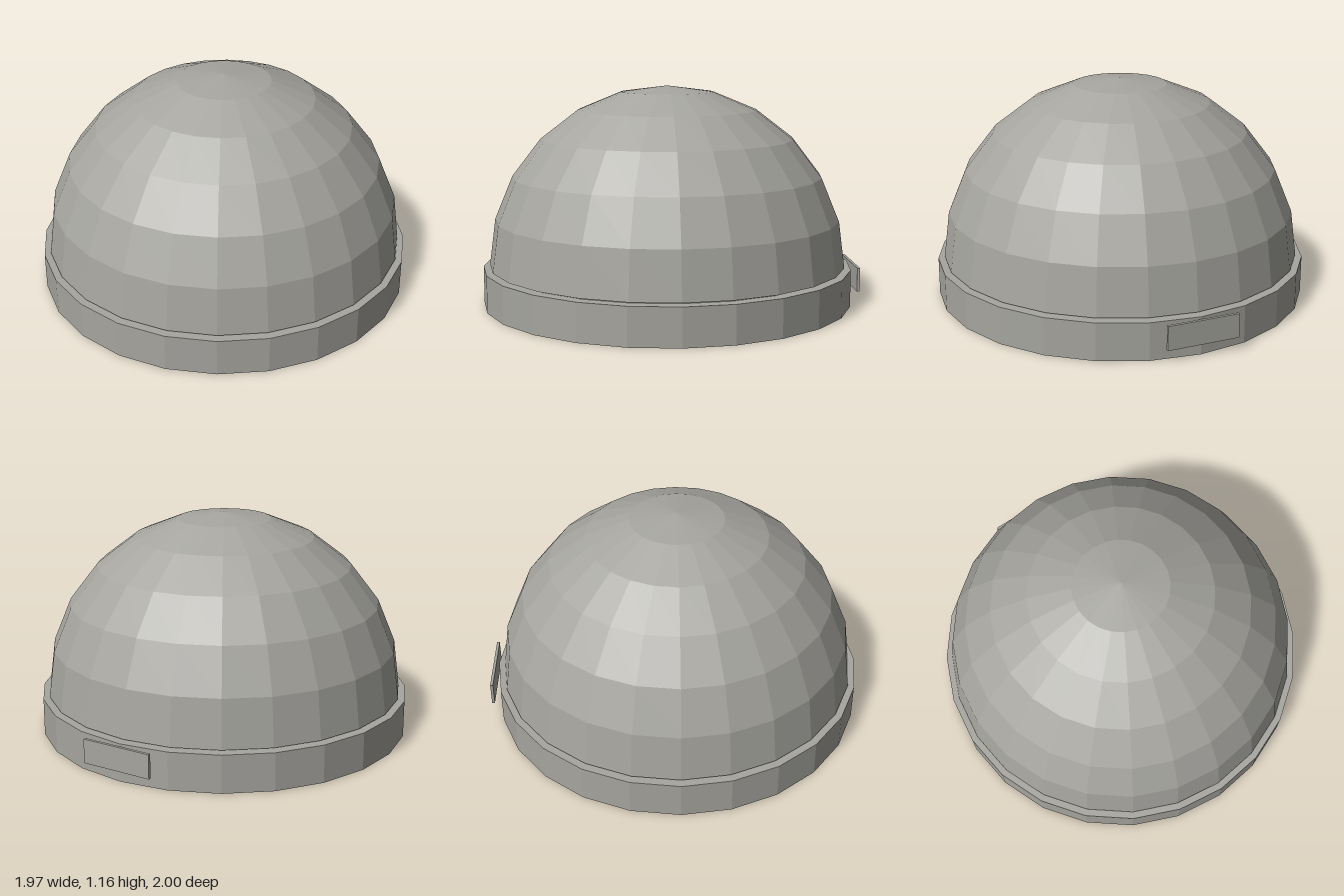
import * as THREE from 'three';

const SIDES = 24;
const CENTRE_Z = 0.016;

// Quarter-circle profile from the rim up to the apex
function domeProfile(radius, baseY, stacks = 6) {
  const points = [];
  for (let i = 0; i <= stacks; i++) {
    const a = (i / stacks) * Math.PI / 2;
    const r = i === stacks ? 0 : radius * Math.cos(a);
    points.push(new THREE.Vector2(r, baseY + radius * Math.sin(a)));
  }
  return points;
}

export function createModel() {
  const model = new THREE.Group();
  model.name = 'domeOnBase';

  const grey = new THREE.MeshStandardMaterial({ color: 0xa6a59f, flatShading: true });
  grey.name = 'warmGrey';

  function add(name, geometry, x, y, z) {
    const mesh = new THREE.Mesh(geometry, grey);
    mesh.name = name;
    mesh.position.set(x, y, z);
    model.add(mesh);
  }

  // Round base
  add('base', new THREE.CylinderGeometry(0.984, 0.984, 0.197, SIDES), 0, 0.0985, CENTRE_Z);

  // Inner dome, seen only as a collar in the gap above the base
  add('innerDome', new THREE.LatheGeometry(domeProfile(0.92, 0.197), SIDES), 0, 0, CENTRE_Z);

  // Outer dome with the underside of its lip
  const lip = new THREE.Vector2(0.9, 0.207);
  add('outerDome', new THREE.LatheGeometry([lip, ...domeProfile(0.95, 0.207)], SIDES), 0, 0, CENTRE_Z);

  // Small plate standing just behind the base
  add('backPlate', new THREE.BoxGeometry(0.38, 0.126, 0.015), 0, 0.13, -0.9925);

  return model;
}
